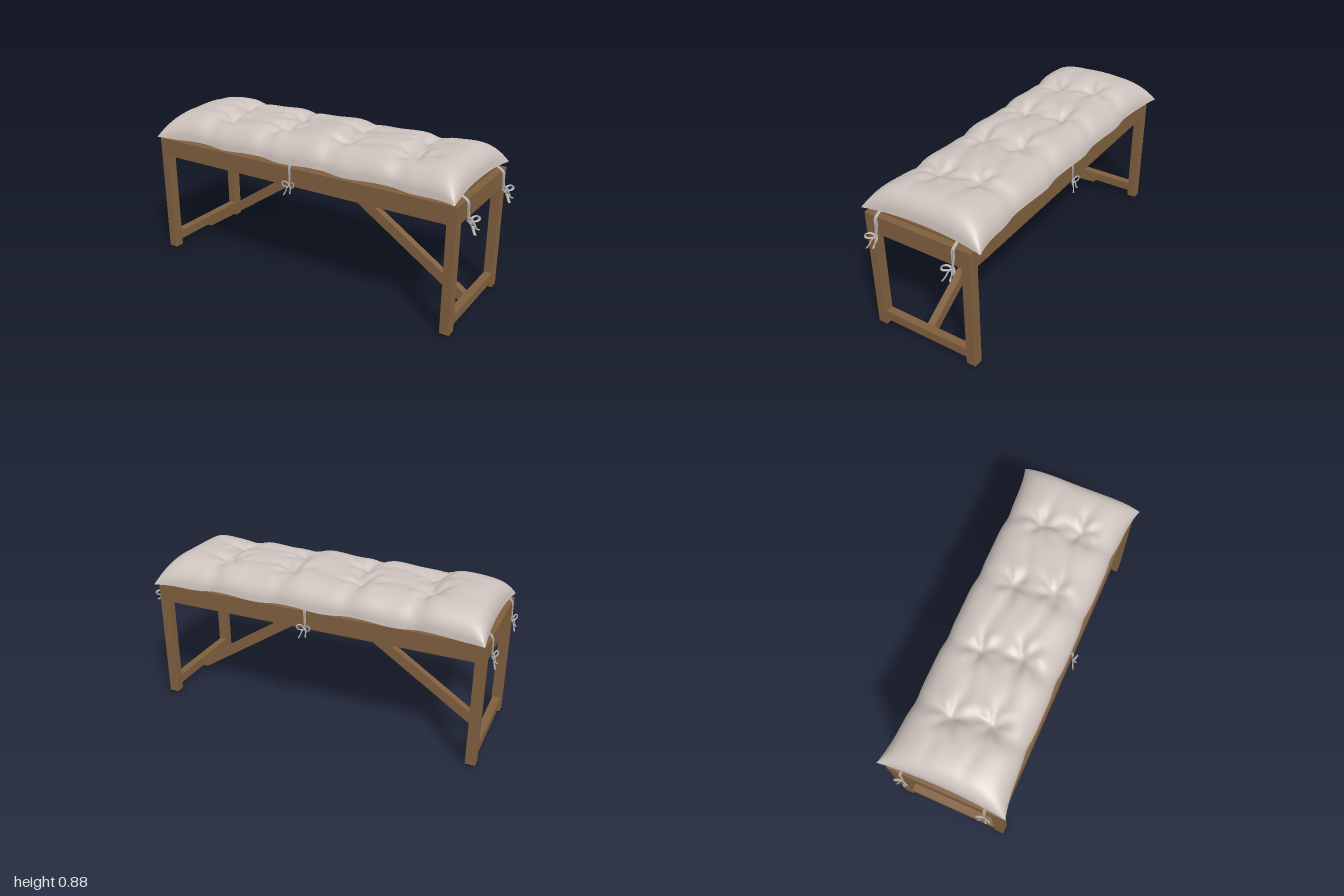
import * as THREE from 'three';
import { RoundedBoxGeometry } from 'three/addons/geometries/RoundedBoxGeometry.js';

const wood = new THREE.MeshStandardMaterial({ color: 0x80603f });
wood.name = 'wood';
const cloth = new THREE.MeshStandardMaterial({ color: 0xcdc2bd });
cloth.name = 'cushion cloth';
const cordGrey = new THREE.MeshStandardMaterial({ color: 0xb3aba6 });
cordGrey.name = 'cord';
const black = new THREE.MeshStandardMaterial({ color: 0x141312 });
black.name = 'foot pad';

// Centre and half sizes of the wooden frame
const CX = -0.02, CZ = 0.009, HX = 0.94, HZ = 0.315;
const LEG = 0.055, RAIL_Y = 0.605, TOP_Y = 0.71;

function add(parent, name, geometry, material, x = 0, y = 0, z = 0) {
  const mesh = new THREE.Mesh(geometry, material);
  mesh.name = name;
  mesh.position.set(x, y, z);
  parent.add(mesh);
  return mesh;
}

function bar(parent, name, w, h, d, x, y, z) {
  return add(parent, name, new RoundedBoxGeometry(w, h, d, 1, 0.003), wood, x, y, z);
}

function buildFrame() {
  const frame = new THREE.Group();
  frame.name = 'frame';
  frame.position.set(CX, 0, CZ);
  const railH = TOP_Y - RAIL_Y, railY = (TOP_Y + RAIL_Y) / 2;
  const legX = HX - LEG / 2, legZ = HZ - LEG / 2;

  for (const s of [-1, 1]) {
    // Aprons
    bar(frame, 'longApron', HX * 2, railH, 0.04, 0, railY, s * (HZ - 0.02));
    bar(frame, 'endApron', 0.04, railH, HZ * 2 - 0.01, s * (HX - 0.02), railY, 0);
    // Legs with dark foot pads
    for (const t of [-1, 1]) {
      bar(frame, 'leg', LEG, RAIL_Y + 0.015, LEG, s * legX, 0.008 + (RAIL_Y + 0.015) / 2, t * legZ);
      add(frame, 'footPad', new THREE.BoxGeometry(LEG - 0.008, 0.01, LEG - 0.008), black, s * legX, 0.005, t * legZ);
    }
    // Low stretcher between the legs of each end
    bar(frame, 'stretcher', 0.045, 0.057, (HZ - LEG) * 2 + 0.01, s * legX, 0.07, 0);

    // Diagonal brace, cut flat where it meets the stretcher and the centre bar
    const shape = new THREE.Shape([
      [s * 0.857, 0.045], [s * 0.888, 0.045], [s * 0.888, 0.093],
      [s * 0.05, 0.648], [s * 0.0, 0.648], [s * 0.0, 0.612],
    ].map(([x, y]) => new THREE.Vector2(x, y)));
    const brace = new THREE.ExtrudeGeometry(shape, { depth: 0.042, bevelEnabled: false });
    add(frame, 'diagonalBrace', brace, wood, 0, 0, -0.021);
  }

  // Centre bar carrying the braces
  bar(frame, 'centreBar', 0.06, 0.04, (HZ - 0.04) * 2 + 0.01, 0, 0.664, 0);

  // Seat slats
  const count = 17, pitch = (HX - 0.04) * 2 / count;
  for (let i = 0; i < count; i++) {
    const x = (i - (count - 1) / 2) * pitch;
    bar(frame, 'seatSlat', pitch - 0.026, 0.026, (HZ - 0.04) * 2 + 0.01, x, 0.696, 0);
  }
  return frame;
}

// Tufted cushion: an upper and a lower sheet that share a seam
const TUFT_X = [-0.6, -0.22, 0.18, 0.57], TUFT_Z = [-0.1, 0.11];
const bell = (d, w) => Math.exp(-(d * d) / (w * w));

function cushionPoint(u, v, top) {
  const au = Math.abs(u), av = Math.abs(v);
  let x = -0.023 + u * (0.918 + 0.018 * v * v);
  const pinch = TUFT_X.reduce((sum, tx) => sum + bell(x - tx, 0.06), 0);
  let z = -0.004 + v * (0.318 + 0.036 * au ** 8 - 0.008 * pinch);
  const seam = 0.722 + 0.022 * (1 - v * v) * au ** 6 + 0.006 * Math.sin(x * 16) * (1 - au ** 6);
  if (!top) {
    const rim = Math.max(au ** 14, av ** 6);
    return [x, 0.712 + (seam - 0.712) * rim, z];
  }
  const swell = Math.pow(Math.max(0, (1 - au ** 14) * (1 - av ** 4)), 0.53);
  let dip = 0;
  TUFT_X.forEach((tx, i) => {
    dip += 0.016 * bell(x - tx - 0.02 * Math.sin(z * 14 + i), 0.05);
    TUFT_Z.forEach((tz, j) => {
      const dx = x - tx - (j ? 0.03 : -0.02), dz = z - tz;
      const r = Math.hypot(dx, dz);
      // Button hollow with folds radiating from it
      dip += 0.042 * Math.exp(-r / 0.06);
      dip += 0.007 * Math.cos(5 * Math.atan2(dz, dx) + i * 2 + j) * bell(r - 0.07, 0.05);
    });
  });
  for (const tz of TUFT_Z) dip += 0.008 * bell(z - tz - 0.025 * Math.sin(x * 9), 0.035) * (1 - au ** 6);
  const wave = 0.004 * Math.sin(x * 7 + 1) + 0.003 * Math.sin(z * 13 + x * 5);
  return [x, seam + (0.149 + wave - dip) * swell, z];
}

function cushionSheet(top) {
  const NU = 150, NV = 60, pos = [], index = [];
  const spread = (k, n) => {
    const s = (k / n) * 2 - 1;
    return 0.35 * s + 0.65 * Math.sin(s * Math.PI / 2);
  };
  for (let i = 0; i <= NU; i++) {
    for (let j = 0; j <= NV; j++) pos.push(...cushionPoint(spread(i, NU), spread(j, NV), top));
  }
  for (let i = 0; i < NU; i++) {
    for (let j = 0; j < NV; j++) {
      const a = i * (NV + 1) + j, b = a + 1, c = a + NV + 1, d = c + 1;
      if (top) index.push(a, b, c, b, d, c);
      else index.push(a, c, b, b, c, d);
    }
  }
  const g = new THREE.BufferGeometry();
  g.setAttribute('position', new THREE.Float32BufferAttribute(pos, 3));
  g.setIndex(index);
  g.computeVertexNormals();
  return g;
}

// Cord tied in a bow; local +z points away from the frame
function buildTie(x, z, turn, reach) {
  const tie = new THREE.Group();
  tie.name = 'cushionTie';
  tie.position.set(x, 0, z);
  tie.rotation.y = turn;
  tie.scale.z = reach;
  const cord = (name, points, closed = false) => {
    const curve = new THREE.CatmullRomCurve3(points.map(p => new THREE.Vector3(...p)), closed);
    add(tie, name, new THREE.TubeGeometry(curve, 20, 0.0042, 6, closed), cordGrey);
  };
  cord('cordStrand', [[0.004, 0.735, -0.012], [0.003, 0.712, 0.006], [0.004, 0.67, 0.008], [-0.002, 0.615, 0.012]]);
  cord('cordStrand', [[-0.004, 0.735, -0.012], [-0.005, 0.712, 0.006], [-0.002, 0.66, 0.01], [0.002, 0.615, 0.014]]);
  for (const s of [-1, 1]) {
    cord('bowLoop', [[0, 0.612, 0.014], [s * 0.018, 0.634, 0.022], [s * 0.036, 0.63, 0.03],
      [s * 0.034, 0.614, 0.032], [s * 0.016, 0.606, 0.022]], true);
    cord('bowTail', [[0, 0.612, 0.014], [s * 0.012, 0.598, 0.024], [s * 0.014 - 0.004, 0.578, 0.03],
      [s * 0.022 - 0.006, 0.565 + s * 0.006, 0.037]]);
  }
  add(tie, 'bowKnot', new THREE.SphereGeometry(0.009, 10, 8), cordGrey, 0, 0.612, 0.015);
  return tie;
}

export function createModel() {
  const model = new THREE.Group();
  model.name = 'cushionedBench';
  model.add(buildFrame());

  const cushion = new THREE.Group();
  cushion.name = 'cushion';
  add(cushion, 'cushionTop', cushionSheet(true), cloth);
  add(cushion, 'cushionUnderside', cushionSheet(false), cloth);
  model.add(cushion);

  // Two ties at each end and one in the middle of each long side
  for (const z of [0.238, -0.222]) {
    model.add(buildTie(CX + HX, z, Math.PI / 2, 1.9));
    model.add(buildTie(CX - HX, z, -Math.PI / 2, 1));
  }
  model.add(buildTie(-0.03, CZ + HZ, 0, 0.7));
  model.add(buildTie(0.0, CZ - HZ, Math.PI, 0.85));
  return model;
}
